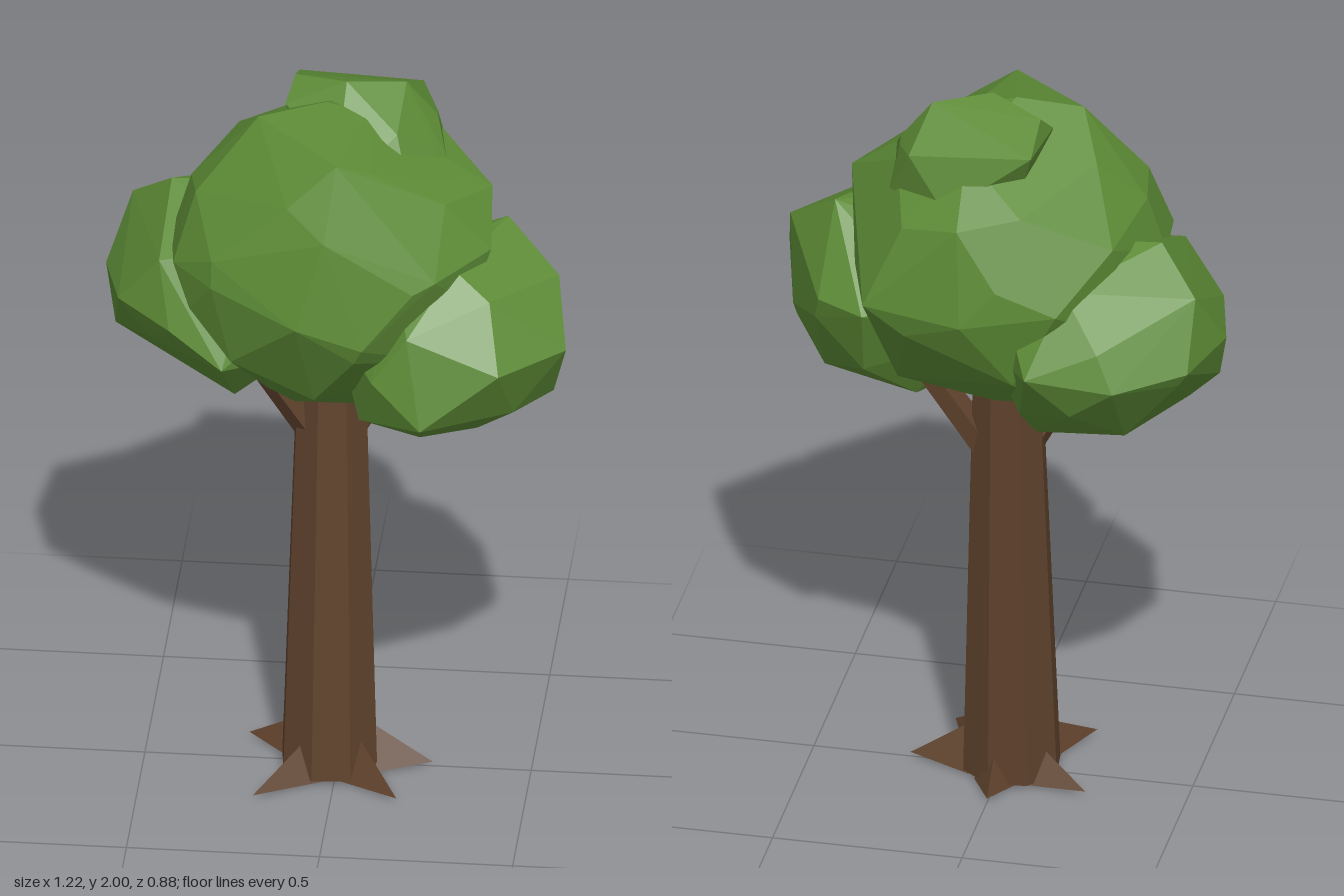
import * as THREE from 'three';
import { ConvexGeometry } from 'three/addons/geometries/ConvexGeometry.js';

const leafGreen = new THREE.MeshStandardMaterial({ color: 0x5c8a35, flatShading: true });
leafGreen.name = 'leaf green';
const barkBrown = new THREE.MeshStandardMaterial({ color: 0x5f422c, flatShading: true });
barkBrown.name = 'bark brown';

function seeded(seed) {
  return () => (seed = (seed * 16807) % 2147483647) / 2147483647;
}

function addPart(group, name, geometry, material) {
  const mesh = new THREE.Mesh(geometry, material);
  mesh.name = name;
  group.add(mesh);
}

// Faceted leaf clump: hull of a loosely scattered ellipsoid and some outstanding corners
function clump(center, radii, count, seed, corners) {
  const c = new THREE.Vector3(...center);
  const r = new THREE.Vector3(...radii);
  const random = seeded(seed);
  const points = corners.map((p) => new THREE.Vector3(...p));
  for (let i = 0; i < count; i++) {
    const y = 1 - (2 * i + 1) / count;
    const ring = Math.sqrt(1 - y * y);
    const angle = i * 2.39996 + 0.3 * random();
    const p = new THREE.Vector3(ring * Math.cos(angle), y, ring * Math.sin(angle));
    points.push(p.multiply(r).multiplyScalar(0.95 + 0.06 * random()).add(c));
  }
  return new ConvexGeometry(points);
}

// Tapered limb between two points
function limb(from, to, r0, r1, sides) {
  const a = new THREE.Vector3(...from), b = new THREE.Vector3(...to);
  const dir = b.clone().sub(a);
  const geo = new THREE.CylinderGeometry(r1, r0, dir.length(), sides);
  geo.applyQuaternion(new THREE.Quaternion().setFromUnitVectors(new THREE.Vector3(0, 1, 0), dir.normalize()));
  const mid = a.add(b).multiplyScalar(0.5);
  return geo.translate(mid.x, mid.y, mid.z);
}

// Three-sided root spike running out along the ground to its tip
function root(x, z) {
  const length = Math.hypot(x, z);
  const top = [0.085, 0.12, 0], left = [0.08, 0, 0.06], right = [0.08, 0, -0.06], tip = [length, 0.012, 0];
  const geo = new THREE.BufferGeometry();
  const corners = [top, left, tip, top, tip, right, left, right, tip, top, right, left].flat();
  geo.setAttribute('position', new THREE.Float32BufferAttribute(corners, 3));
  geo.computeVertexNormals();
  return geo.rotateY(Math.atan2(-z, x));
}

export function createModel() {
  const tree = new THREE.Group();
  tree.name = 'tree';

  // Trunk: eight sides, leaning slightly backwards
  const trunk = new THREE.CylinderGeometry(0.09, 0.131, 1.28, 8).rotateY(Math.PI / 8 + 0.12);
  const pos = trunk.attributes.position;
  for (let i = 0; i < pos.count; i++) {
    const y = pos.getY(i) + 0.65;
    pos.setXYZ(i, pos.getX(i) - 0.021, y, pos.getZ(i) + 0.005 - 0.045 * y);
  }
  addPart(tree, 'trunk', trunk, barkBrown);

  // Roots
  const tips = [[0.245, 0], [0.17, 0.2], [-0.2, 0.22], [-0.24, -0.11], [0, -0.2]];
  for (const [x, z] of tips) addPart(tree, 'root', root(x, z), barkBrown);

  // Branches
  addPart(tree, 'leftBranch', limb([0.03, 0.97, -0.06], [0.21, 1.26, -0.11], 0.042, 0.036, 5), barkBrown);
  addPart(tree, 'rightBranch', limb([-0.07, 0.98, -0.02], [-0.22, 1.24, 0.04], 0.045, 0.04, 5), barkBrown);

  // Crown: one large clump with smaller ones at both sides and on top
  addPart(tree, 'mainFoliage', clump([-0.01, 1.53, 0.01], [0.425, 0.425, 0.415], 38, 11, [
    [-0.07, 1.52, 0.44], [0, 1.75, 0.39], [0.4, 1.73, 0], [-0.38, 1.72, 0], [0.03, 1.5, -0.4],
    [-0.2, 1.935, 0.06], [0.3, 1.5, -0.33], [-0.22, 1.55, -0.38], [0.02, 1.91, 0.26], [0.05, 1.75, -0.34],
    [-0.3, 1.56, 0.31], [0.41, 1.62, 0.14], [0.28, 1.6, 0.3], [0.06, 1.11, 0.08], [-0.03, 1.965, 0.02],
    [-0.41, 1.56, 0.18], [0.1, 1.45, 0.41], [0.24, 1.22, -0.18], [-0.1, 1.13, 0.12],
  ]), leafGreen);
  addPart(tree, 'leftFoliage', clump([0.29, 1.34, 0.09], [0.3, 0.285, 0.3], 22, 23, [
    [0.61, 1.37, 0.21], [0.26, 1.04, 0.09], [0.58, 1.52, 0.08], [0.45, 1.37, 0.37], [0.25, 1.22, 0.41],
    [0.32, 1.6, 0.22], [0.44, 1.63, -0.02], [0.45, 1.42, -0.18], [0.57, 1.2, 0.12], [0.32, 1.42, -0.25],
    [0.41, 1.09, 0.1], [0.08, 1.17, 0.27], [0.12, 1.33, 0.36],
  ]), leafGreen);
  addPart(tree, 'rightFoliage', clump([-0.28, 1.38, -0.12], [0.31, 0.275, 0.31], 22, 37, [
    [-0.61, 1.39, -0.1], [-0.55, 1.55, -0.2], [-0.15, 1.39, -0.44], [-0.38, 1.37, -0.43],
    [-0.58, 1.25, -0.04], [-0.39, 1.12, -0.1], [-0.55, 1.38, -0.3], [-0.44, 1.65, -0.1],
    [-0.56, 1.4, 0.1], [-0.42, 1.36, 0.19], [-0.28, 1.27, 0.23], [-0.13, 1.11, -0.2],
    [-0.26, 1.12, 0.08], [-0.45, 1.54, 0.14],
  ]), leafGreen);
  addPart(tree, 'topFoliage', clump([0.08, 1.82, -0.06], [0.2, 0.14, 0.19], 18, 51, [
    [0.02, 2, -0.03], [-0.12, 1.975, -0.1], [-0.12, 1.92, -0.22], [0.17, 1.98, -0.08], [0.2, 1.9, -0.23],
    [0.25, 1.88, -0.09], [0.28, 1.81, 0], [0.19, 1.79, 0.12], [0.07, 1.82, 0.13], [0.1, 1.76, -0.26],
    [0.26, 1.77, -0.18], [-0.14, 1.92, -0.04],
  ]), leafGreen);

  return tree;
}
